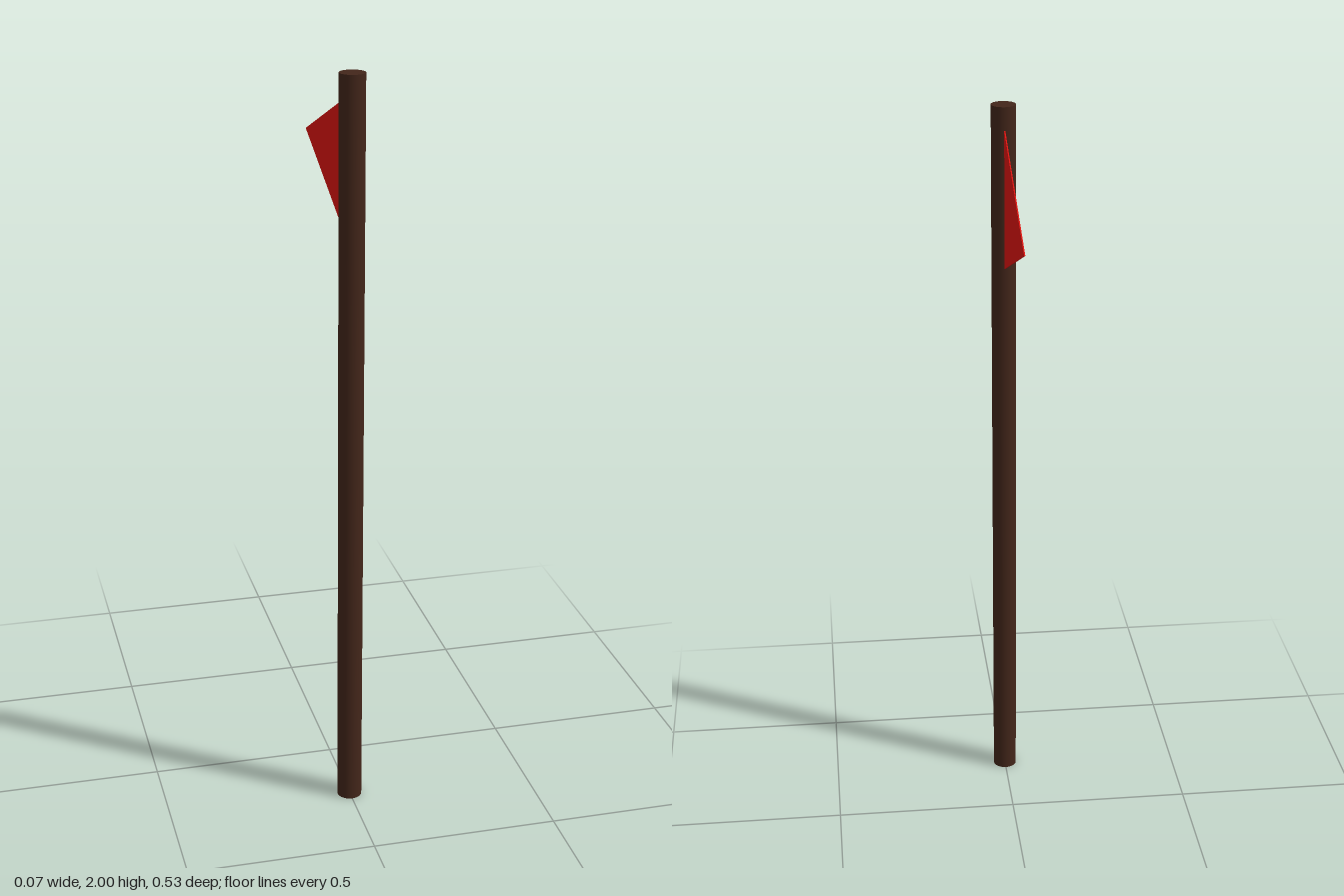
import * as THREE from 'three';

export function createModel() {
  const model = new THREE.Group();
  const radius = 0.033, poleZ = 0.23;

  // Round upright pole
  const pole = new THREE.Mesh(
    new THREE.CylinderGeometry(radius, radius, 2, 32),
    new THREE.MeshStandardMaterial({ color: 0x43261a })
  );
  pole.name = 'pole';
  pole.position.set(0, 1, poleZ);
  model.add(pole);

  // Thin triangular pennant, drawn with shape x running backwards from the pole's axis
  const thickness = 0.003;
  const pennant = new THREE.Shape([
    new THREE.Vector2(0, 1.553),
    new THREE.Vector2(0.493, 1.755),
    new THREE.Vector2(0, 1.951),
  ]);
  const flagGeometry = new THREE.ExtrudeGeometry(pennant, { depth: thickness, bevelEnabled: false });
  flagGeometry.translate(0, 0, -thickness / 2).rotateY(Math.PI / 2);
  const flag = new THREE.Mesh(flagGeometry, new THREE.MeshStandardMaterial({ color: 0xdf1510 }));
  flag.name = 'flag';
  flag.position.z = poleZ;
  model.add(flag);

  return model;
}
